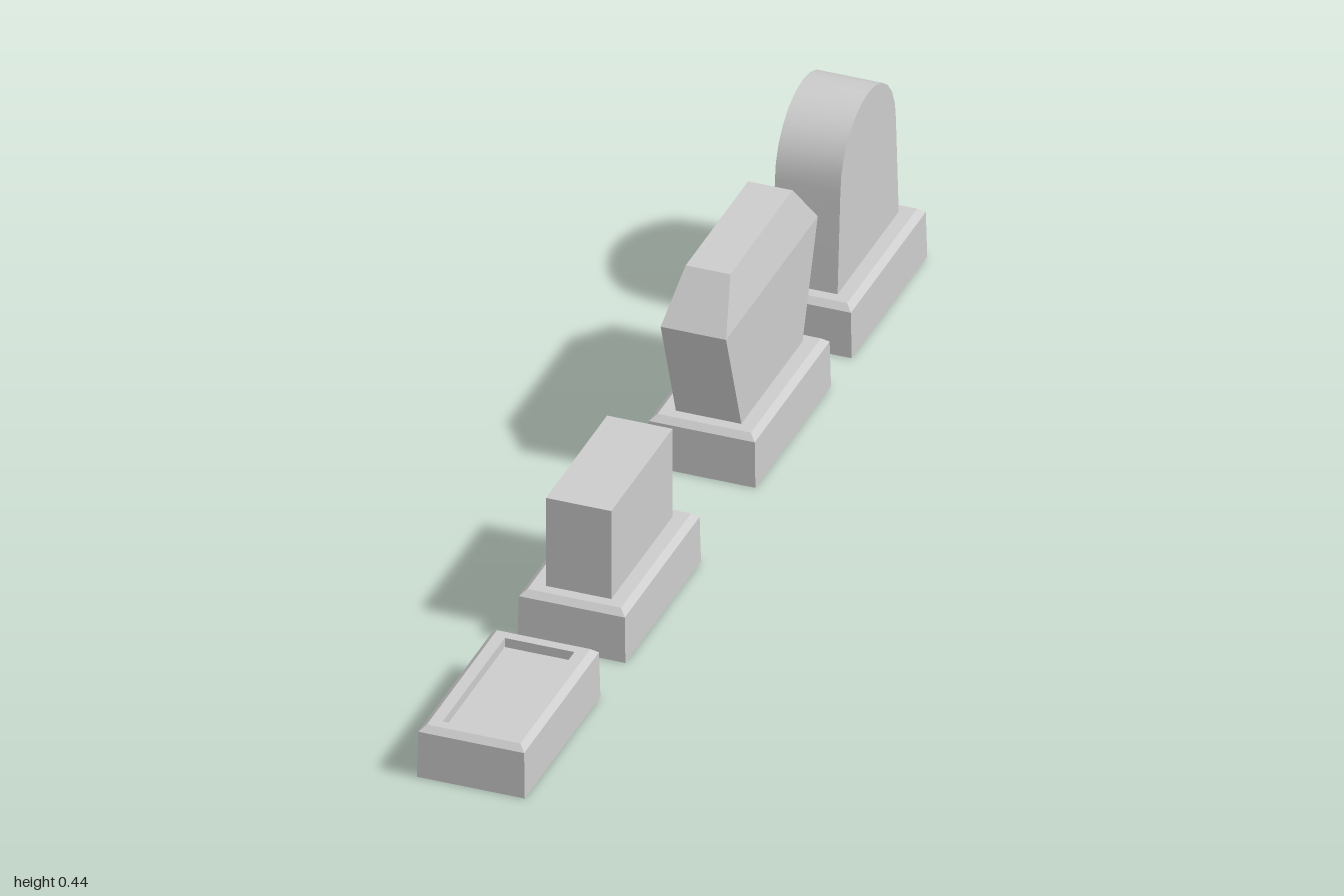
import * as THREE from 'three';
import { toCreasedNormals } from 'three/addons/utils/BufferGeometryUtils.js';

// Lofts rectangular sections [y, halfX, halfZ] into a closed, flat-faced solid.
function loft(rings) {
  const pos = [], idx = [];
  rings.forEach(([y, hx, hz]) => pos.push(hx, y, hz, hx, y, -hz, -hx, y, -hz, -hx, y, hz));
  for (let r = 0; r < rings.length - 1; r++) {
    for (let i = 0; i < 4; i++) {
      const a = r * 4 + i, b = r * 4 + (i + 1) % 4;
      idx.push(a, b, b + 4, a, b + 4, a + 4);
    }
  }
  const t = (rings.length - 1) * 4;
  idx.push(0, 2, 1, 0, 3, 2, t, t + 1, t + 2, t, t + 2, t + 3);
  const g = new THREE.BufferGeometry();
  g.setAttribute('position', new THREE.Float32BufferAttribute(pos, 3));
  g.setIndex(idx);
  const flat = g.toNonIndexed();
  flat.computeVertexNormals();
  return flat;
}

// Round-topped slab: slightly tapered sides under a half-ellipse, extruded across x.
function archGeometry() {
  const shape = new THREE.Shape();
  shape.moveTo(-0.152, 0.105);
  shape.lineTo(0.152, 0.105);
  const n = 12;
  for (let i = 0; i <= n; i++) {
    const a = (i / n) * Math.PI;
    shape.lineTo(0.138 * Math.cos(a), 0.31 + 0.132 * Math.sin(a));
  }
  const g = new THREE.ExtrudeGeometry(shape, { depth: 0.126, bevelEnabled: false });
  g.translate(0, 0, -0.063);
  g.rotateY(Math.PI / 2);
  return toCreasedNormals(g, 0.6);
}

export function createModel() {
  const model = new THREE.Group();
  model.name = 'gravestones';
  const stone = new THREE.MeshStandardMaterial({ color: 0xcccccc });
  stone.name = 'grey stone';

  // Plinth with chamfered upper edge
  const plinth = [[0, 0.104, 0.188], [0.094, 0.102, 0.186], [0.105, 0.09, 0.174]];
  // Sunken panel cut into the top of the lowest marker
  const recess = [[0.105, 0.067, 0.154], [0.086, 0.067, 0.154]];

  const markers = [
    { name: 'flatMarker', z: 0.812, base: [...plinth, ...recess] },
    { name: 'blockMarker', z: 0.312, base: plinth,
      top: loft([[0.105, 0.063, 0.152], [0.29, 0.063, 0.152]]) },
    { name: 'flaredMarker', z: -0.334, base: plinth,
      top: loft([[0.105, 0.063, 0.152], [0.325, 0.063, 0.228], [0.417, 0.043, 0.155]]) },
    { name: 'archedMarker', z: -0.812, base: plinth, top: archGeometry() },
  ];

  for (const { name, z, base, top } of markers) {
    const marker = new THREE.Group();
    marker.name = name;
    marker.position.z = z;
    const foot = new THREE.Mesh(loft(base), stone);
    foot.name = 'plinth';
    marker.add(foot);
    if (top) {
      const head = new THREE.Mesh(top, stone);
      head.name = 'headstone';
      marker.add(head);
    }
    model.add(marker);
  }
  return model;
}
